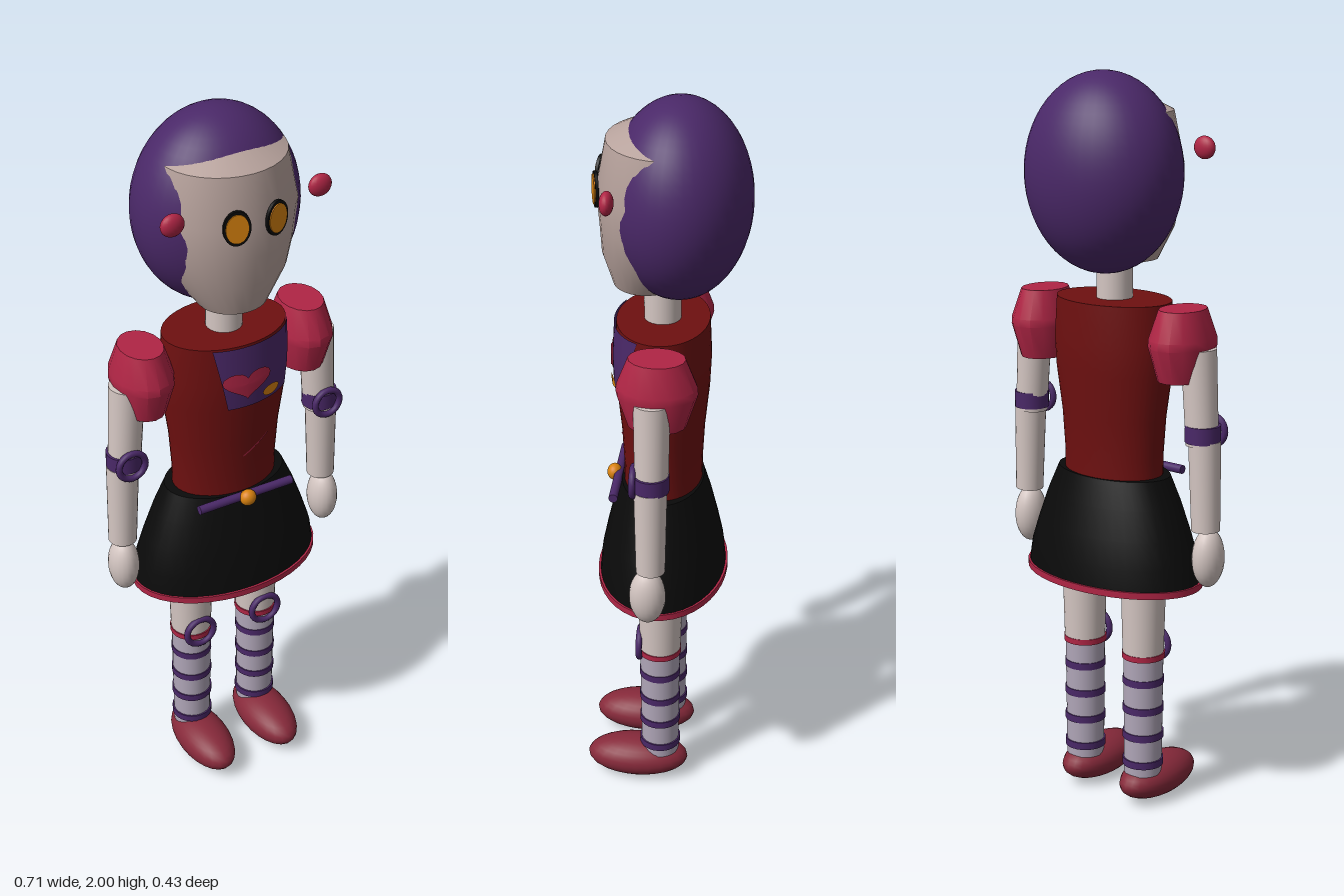
import * as THREE from 'three';
import { toCreasedNormals } from 'three/addons/utils/BufferGeometryUtils.js';

const mat = (name, color, side = THREE.FrontSide) => {
  const m = new THREE.MeshStandardMaterial({ color, side });
  m.name = name;
  return m;
};

export function createModel() {
  const purple = mat('purple', 0x4a2868, THREE.DoubleSide);
  const crimson = mat('crimson', 0xb02545, THREE.DoubleSide);
  const darkRed = mat('dark red', 0x6e1010);
  const bootRed = mat('boot red', 0x86293a);
  const orange = mat('orange', 0xd9820f, THREE.DoubleSide);
  const faceTone = mat('face tone', 0xb8a39d);
  const skin = mat('pale skin', 0xd4c6c2);
  const sock = mat('sock lavender', 0xb0a6b8);
  const black = mat('black', 0x0a0a0a);

  const root = new THREE.Group();
  const add = (name, geo, material, x = 0, y = 0, z = 0, parent = root) => {
    const mesh = new THREE.Mesh(geo, material);
    mesh.name = name;
    mesh.position.set(x, y, z);
    parent.add(mesh);
    return mesh;
  };
  const ellipsoid = (rx, ry, rz, w = 32, h = 20) => new THREE.SphereGeometry(1, w, h).scale(rx, ry, rz);
  // Turned solid, profile listed from bottom to top, flattened in depth
  const turned = (pts, sx = 1, sz = 1, seg = 32, crease = 0.7) =>
    toCreasedNormals(new THREE.LatheGeometry(pts.map(p => new THREE.Vector2(...p)), seg).scale(sx, 1, sz), crease);
  const tube = (rTop, rBottom, h) => new THREE.CylinderGeometry(rTop, rBottom, h, 24);
  const moveVerts = (geo, rule) => {
    const p = geo.attributes.position, v = new THREE.Vector3();
    for (let i = 0; i < p.count; i++) {
      rule(v.fromBufferAttribute(p, i));
      p.setXYZ(i, v.x, v.y, v.z);
    }
    geo.computeVertexNormals();
    return geo;
  };

  // Head: hair shell with the face pushing out of its front
  add('hair', ellipsoid(0.22, 0.26, 0.185, 40, 28), purple, 0, 1.74, -0.03);
  const face = new THREE.LatheGeometry([
    [0, 1.487], [0.085, 1.51], [0.145, 1.6], [0.172, 1.68], [0.18, 1.77], [0.155, 1.9], [0, 1.98],
  ].map(p => new THREE.Vector2(...p)), 32);
  add('face', toCreasedNormals(moveVerts(face, v => {
    v.x *= 1.07;
    v.z += 0.055 * Math.pow(Math.max(0, 1.68 - v.y) / 0.17, 1.2);
  }), 0.6), faceTone);

  // Eyes and side ornaments
  for (const [side, s] of [['left', 1], ['right', -1]]) {
    const eye = new THREE.Group();
    eye.name = side + 'Eye';
    eye.position.set(s * 0.055, 1.778, 0.174);
    eye.rotation.y = s * 0.26;
    root.add(eye);
    const disc = (rx, ry, d) => new THREE.CylinderGeometry(1, 1, d, 24).rotateX(Math.PI / 2).scale(rx, ry, 1);
    add('eyeRim', disc(0.035, 0.047, 0.008), black, 0, 0, 0, eye);
    add('iris', disc(0.029, 0.039, 0.008), orange, 0, 0, 0.003, eye);
    add(side + 'HairBobble', ellipsoid(0.032, 0.03, 0.018, 20, 14), crimson, s * 0.204, 1.805, 0.128);
  }

  add('neck', tube(0.048, 0.048, 0.14), skin, 0, 1.46, 0.014);

  // Torso
  const torsoProfile = [
    [0, 0.93], [0.147, 0.93], [0.147, 0.99], [0.155, 1.1], [0.172, 1.22], [0.177, 1.3], [0.17, 1.41], [0, 1.41],
  ];
  add('bodice', turned(torsoProfile, 1, 0.71, 40), darkRed, 0, 0, 0.012);
  const torsoZ = (x, y) => {
    let i = 1;
    while (i < 5 && y > torsoProfile[i + 1][1]) i++;
    const [r0, y0] = torsoProfile[i], [r1, y1] = torsoProfile[i + 1];
    const r = r0 + (r1 - r0) * (y - y0) / (y1 - y0);
    return 0.012 + 0.71 * Math.sqrt(Math.max(0, r * r - x * x));
  };
  // Lays a flat geometry onto the chest
  const onChest = (geo, lift, rule = () => {}) => moveVerts(geo, v => {
    rule(v);
    v.z = torsoZ(v.x, v.y) + lift;
  });
  add('bib', onChest(new THREE.PlaneGeometry(1, 1, 16, 8), 0.006, v => {
    const u = v.x + 0.5, t = v.y + 0.5;
    const left = -0.055 - 0.037 * t, right = 0.137 + 0.021 * t;
    v.x = left + (right - left) * u;
    v.y = 1.228 + 0.18 * t;
  }), purple);
  add('heartPatch', onChest(new THREE.RingGeometry(0.001, 1, 28, 4), 0.011, v => {
    const k = Math.hypot(v.x, v.y), a = Math.atan2(v.x, v.y);
    const hx = Math.sin(a) ** 3;
    const hy = (13 * Math.cos(a) - 5 * Math.cos(2 * a) - 2 * Math.cos(3 * a) - Math.cos(4 * a)) / 16;
    v.x = -0.004 + 0.07 * k * hx;
    v.y = 1.303 + 0.046 * k * hy;
  }), crimson);
  add('badge', onChest(new THREE.CircleGeometry(1, 20), 0.012, v => {
    v.x = 0.07 + 0.028 * v.x;
    v.y = 1.257 + 0.016 * v.y;
  }), orange);
  // Slanted stitch on the waist
  add('stitch', onChest(new THREE.PlaneGeometry(1, 1, 8, 1), 0.002, v => {
    const u = v.x;
    v.x = 0.038 + 0.08 * u;
    v.y = 1.08 + 0.045 * u + 0.005 * v.y;
  }), crimson);

  // Skirt, hem and belt
  add('skirt', turned([
    [0, 0.655], [0.268, 0.655], [0.258, 0.72], [0.235, 0.79], [0.205, 0.87], [0.172, 0.942], [0, 0.942],
  ], 1, 0.64, 40), black, 0, 0, 0.013);
  add('hem', turned([
    [0.255, 0.645], [0.272, 0.645], [0.272, 0.663], [0.255, 0.663],
  ], 1, 0.65, 40), crimson, 0, 0, 0.013);
  add('belt', tube(0.012, 0.012, 0.28).rotateZ(Math.PI / 2), purple, 0, 0.937, 0.132);
  add('buckle', ellipsoid(0.023, 0.023, 0.02, 20, 14), orange, 0, 0.937, 0.145);

  // Limbs, mirrored
  for (const [side, s] of [['left', 1], ['right', -1]]) {
    const arm = new THREE.Group();
    arm.name = side + 'Arm';
    root.add(arm);
    add('puffSleeve', turned([
      [0, 1.225], [0.058, 1.225], [0.08, 1.315], [0.079, 1.335], [0.056, 1.411], [0, 1.411],
    ], 1, 1.3, 16, 0.5), crimson, s * 0.235, 0, 0.004, arm);
    const upper = add('upperArm', tube(0.047, 0.043, 0.25), skin, s * 0.288, 1.185, 0.012, arm);
    upper.rotation.z = s * 0.06;
    const fore = add('forearm', tube(0.043, 0.038, 0.24), skin, s * 0.305, 0.95, 0.014, arm);
    fore.rotation.z = s * 0.03;
    add('elbowCuff', tube(0.047, 0.047, 0.045), purple, s * 0.296, 1.09, 0.013, arm);
    add('elbowRing', new THREE.TorusGeometry(0.038, 0.009, 10, 24), purple, s * 0.295, 1.09, 0.058, arm);
    add('hand', ellipsoid(0.041, 0.08, 0.048, 20, 16), skin, s * 0.312, 0.753, 0.022, arm);

    const leg = new THREE.Group();
    leg.name = side + 'Leg';
    leg.position.x = s * 0.104;
    root.add(leg);
    add('thigh', tube(0.063, 0.056, 0.27), skin, 0, 0.565, 0.011, leg);
    add('sock', tube(0.055, 0.052, 0.35), sock, 0, 0.265, 0.012, leg);
    for (const y of [0.125, 0.205, 0.283, 0.364])
      add('sockStripe', tube(0.0565, 0.0565, 0.02), purple, 0, y, 0.012, leg);
    add('sockCuff', tube(0.059, 0.059, 0.016), crimson, 0, 0.437, 0.012, leg);
    add('kneeRing', new THREE.TorusGeometry(0.042, 0.009, 10, 28), purple, 0, 0.453, 0.067, leg);
    add('boot', ellipsoid(0.072, 0.057, 0.142, 24, 16), bootRed, 0, 0.06, 0.076, leg);
  }
  return root;
}
